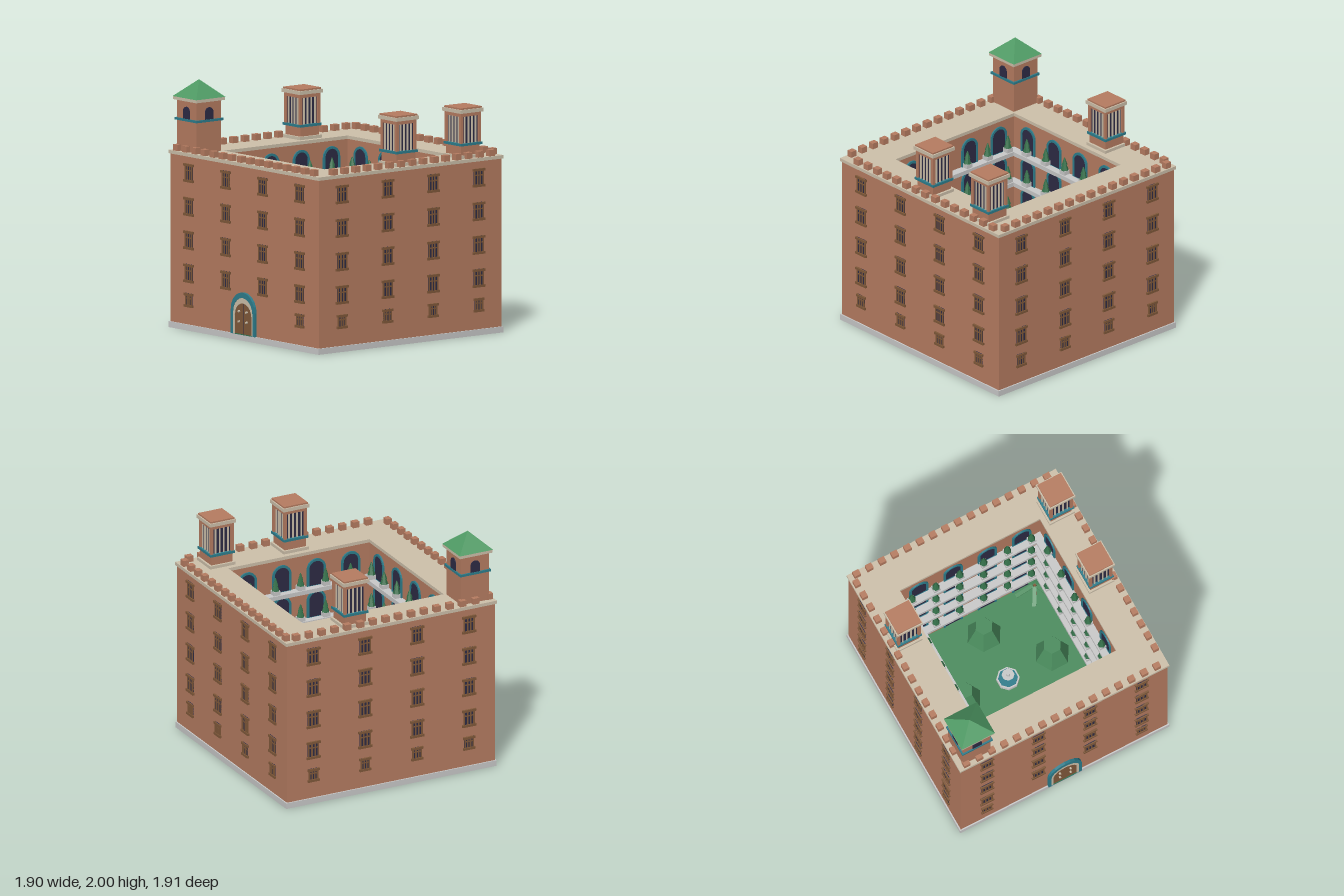
import * as THREE from 'three';

const mat = (name, color) => Object.assign(new THREE.MeshStandardMaterial({ color }), { name });
const brick = mat('brick', 0xb67c61), cream = mat('cream stone', 0xcdc0aa), grey = mat('grey stone', 0xc9c9c9),
  wood = mat('wood', 0x80593a), glass = mat('dark glass', 0x2d2b45), teal = mat('teal tile', 0x2d7d8c),
  lawnGreen = mat('lawn green', 0x4a8c5d), roofGreen = mat('roof green', 0x4f9a64), leaf = mat('leaf green', 0x35704a);

const W = 0.935;      // outer wall half width
const C = 0.634;      // courtyard half width
const TOP = 1.427;    // roof terrace height
const FLOORS = [0.32, 0.59, 0.86, 1.13];

function add(parent, name, geo, material, x = 0, y = 0, z = 0) {
  const m = new THREE.Mesh(geo, material);
  m.name = name;
  m.position.set(x, y, z);
  parent.add(m);
  return m;
}
function group(parent, name, x = 0, y = 0, z = 0, ry = 0) {
  const g = new THREE.Group();
  g.name = name;
  g.position.set(x, y, z);
  g.rotation.y = ry;
  parent.add(g);
  return g;
}
// Box standing on y0 and reaching y1
const block = (p, name, m, w, d, y0, y1, x = 0, z = 0) =>
  add(p, name, new THREE.BoxGeometry(w, y1 - y0, d), m, x, (y0 + y1) / 2, z);
// Faceted prism or cone standing on y0
function prism(p, name, m, rTop, rBottom, y0, y1, sides, turn = 0, x = 0, z = 0) {
  const geo = new THREE.CylinderGeometry(rTop, rBottom, y1 - y0, sides).toNonIndexed();
  geo.computeVertexNormals();
  geo.rotateY(turn);
  return add(p, name, geo, m, x, (y0 + y1) / 2, z);
}
function square(h, Type = THREE.Shape) {
  const s = new Type();
  s.moveTo(-h, -h); s.lineTo(h, -h); s.lineTo(h, h); s.lineTo(-h, h); s.closePath();
  return s;
}
// Square ring lying flat from y0 to y1
function ring(p, name, m, outer, inner, y0, y1) {
  const s = square(outer);
  s.holes.push(square(inner, THREE.Path));
  const geo = new THREE.ExtrudeGeometry(s, { depth: y1 - y0, bevelEnabled: false }).rotateX(-Math.PI / 2);
  return add(p, name, geo, m, 0, y0, 0);
}
function arch(w, y0, y1, Type = THREE.Shape) {
  const s = new Type();
  s.moveTo(-w, y0); s.lineTo(w, y0); s.lineTo(w, y1 - w);
  s.absarc(0, y1 - w, w, 0, Math.PI, false);
  s.lineTo(-w, y0);
  return s;
}
function archGeo(w, y0, y1, depth, hole) {
  const s = arch(w, y0, y1);
  if (hole) s.holes.push(arch(hole[0], y0 + 0.0005, hole[1], THREE.Path));
  return new THREE.ExtrudeGeometry(s, { depth, bevelEnabled: false, curveSegments: 5 });
}

// Barred window, built facing +z with the wall at z = 0
function addWindow(p, x, y, z, w, h) {
  const g = group(p, 'window', x, y, z);
  const iw = w * 0.8;
  add(g, 'windowPane', new THREE.BoxGeometry(iw, h, 0.008), glass, 0, 0, 0.002);
  for (const s of [-1, 1])
    add(g, s < 0 ? 'sill' : 'lintel', new THREE.BoxGeometry(w, 0.02, 0.026), wood, 0, s * (h / 2 - 0.01), 0.003);
  for (let i = 0; i < 4; i++)
    add(g, 'windowBar', new THREE.BoxGeometry(0.012, h, 0.018), wood, (i / 3 - 0.5) * (iw - 0.012), 0, 0.002);
  add(g, 'crossBar', new THREE.BoxGeometry(iw, 0.01, 0.016), wood, 0, h * 0.14, 0.002);
}

function addPlanter(p, x, y, z) {
  const g = group(p, 'planter', x, y, z);
  block(g, 'pot', grey, 0.058, 0.058, 0, 0.035);
  prism(g, 'shrubLower', leaf, 0.014, 0.033, 0.035, 0.09, 6, Math.PI / 6);
  prism(g, 'shrubUpper', leaf, 0.004, 0.024, 0.08, 0.14, 6, Math.PI / 6);
}

// Open lantern pavilion on the roof
function addPavilion(p, x, z) {
  const g = group(p, 'pavilion', x, TOP, z);
  block(g, 'plinth', cream, 0.226, 0.226, 0, 0.025);
  block(g, 'pedestal', brick, 0.19, 0.19, 0.025, 0.1);
  block(g, 'tealBand', teal, 0.22, 0.22, 0.1, 0.12);
  block(g, 'lanternCore', glass, 0.174, 0.174, 0.12, 0.335);
  for (let k = 0; k < 4; k++) {
    const side = group(g, 'colonnade', 0, 0, 0, k * Math.PI / 2);
    block(side, 'cornerPost', brick, 0.024, 0.024, 0.12, 0.335, 0.091, 0.091);
    for (let i = 0; i < 4; i++)
      block(side, 'colonnette', cream, 0.011, 0.014, 0.12, 0.335, (i - 1.5) * 0.037, 0.09);
  }
  block(g, 'frieze', brick, 0.206, 0.206, 0.335, 0.364);
  block(g, 'cornice', cream, 0.234, 0.234, 0.364, 0.393);
  block(g, 'cap', brick, 0.214, 0.214, 0.393, 0.406);
}

// Corner tower with pyramid roof
function addTower(p, x, z) {
  const g = group(p, 'cornerTower', x, 0, z);
  block(g, 'towerShaft', brick, 0.25, 0.25, TOP, 1.84);
  block(g, 'towerBand', teal, 0.275, 0.275, 1.673, 1.692);
  for (let k = 0; k < 4; k++) {
    const side = group(g, 'towerSide', 0, 0, 0, k * Math.PI / 2);
    add(side, 'towerWindow', archGeo(0.041, 1.692, 1.79, 0.008), glass, 0, 0, 0.124);
  }
  block(g, 'towerCornice', cream, 0.295, 0.295, 1.836, 1.861);
  prism(g, 'towerRoof', roofGreen, 0, 0.15 * Math.SQRT2, 1.861, 2, 4, Math.PI / 4);
}

function addDoor(p) {
  const g = group(p, 'gate', 0, 0.048, W);
  add(g, 'gateSurround', archGeo(0.15, 0, 0.342, 0.022, [0.124, 0.298]), teal);
  add(g, 'gateArch', archGeo(0.124, 0, 0.298, 0.018, [0.106, 0.254]), cream);
  add(g, 'gateLeaf', archGeo(0.106, 0, 0.254, 0.014), wood);
  add(g, 'threshold', new THREE.BoxGeometry(0.21, 0.006, 0.02), leaf, 0, 0.003, 0.01);
  add(g, 'gateSeam', new THREE.BoxGeometry(0.003, 0.25, 0.002), glass, 0, 0.126, 0.0145);
  for (const x of [-0.048, 0.048]) for (const y of [0.105, 0.187])
    add(g, 'stud', new THREE.CylinderGeometry(0.009, 0.009, 0.016, 8).rotateX(Math.PI / 2), cream, x, y, 0.021);
}

// Palm in a courtyard corner, fronds opening towards the middle
function addPalm(p, x, z, turn) {
  const g = group(p, 'palm', x, 0.05, z, turn);
  prism(g, 'palmTrunk', wood, 0.012, 0.018, 0, 0.23, 6);
  for (let i = 0; i < 6; i++) {
    const f = group(g, 'frond', 0, 0.23, 0, i * Math.PI / 3);
    add(f, 'frondBlade', new THREE.BoxGeometry(0.16, 0.01, 0.032), lawnGreen, 0.093, -0.02, 0).rotation.z = -0.3;
  }
}

export function createModel() {
  const model = new THREE.Group();
  model.name = 'courtyardPalace';
  const b = group(model, 'palace', 0, 0, -0.0125);

  // Main shell
  block(b, 'base', grey, 1.892, 1.892, 0, 0.048);
  ring(b, 'walls', brick, W, C + 0.002, 0.048, 1.402);
  ring(b, 'roofTerrace', cream, 0.947, C, 1.4, TOP);

  // Outer facades: rows of windows, gate at the front
  for (let k = 0; k < 4; k++) {
    const f = group(b, 'facade', 0, 0, 0, k * Math.PI / 2);
    for (const x of [-0.7, -0.233, 0.233, 0.7]) {
      for (const y of [0.46, 0.727, 0.997, 1.268]) addWindow(f, x, y, W, 0.122, 0.148);
      if (k || Math.abs(x) > 0.5) addWindow(f, x, 0.244, W, 0.104, 0.112);
    }
    if (k === 0) addDoor(f);
  }

  // Battlements
  for (const s of [-1, 1]) {
    for (let i = 0; i < 16; i++)
      block(b, 'merlon', brick, 0.055, 0.048, TOP, 1.477, -0.875 + i * 0.115, s * 0.913);
    for (let i = 0; i < 15; i++)
      block(b, 'merlon', brick, 0.048, 0.055, TOP, 1.477, s * 0.912, -0.842 + i * 0.115);
  }

  // Courtyard galleries with arches and planters
  for (const y of FLOORS) ring(b, 'gallery', grey, C + 0.004, 0.565, y - 0.035, y);
  for (let k = 0; k < 4; k++) {
    const s = group(b, 'courtyardSide', 0, 0, 0, k * Math.PI / 2);
    for (const y of [0.05, ...FLOORS]) {
      for (const x of [-0.465, -0.155, 0.155, 0.465]) {
        add(s, 'archFrame', archGeo(0.085, 0, 0.228, 0.012, [0.066, 0.208]), teal, x, y, -C - 0.002);
        add(s, 'archOpening', archGeo(0.066, 0, 0.208, 0.006), glass, x, y, -C - 0.002);
      }
      if (y < 0.1) continue;
      const n = k % 2 ? 5 : 6, step = k % 2 ? 0.225 : 0.216;
      for (let i = 0; i < n; i++) addPlanter(s, (i - (n - 1) / 2) * step, y, -0.604);
    }
  }

  // Garden
  block(b, 'lawn', lawnGreen, 2 * C, 2 * C, 0.046, 0.054);
  for (const [x, z] of [[0.4, 0], [-0.4, 0], [0, 0.4], [0, -0.4]]) {
    const t = group(b, 'gardenTree', x, 0.05, z);
    prism(t, 'treeTrunk', wood, 0.025, 0.03, 0, 0.1, 6);
    prism(t, 'treeCrown', lawnGreen, 0.075, 0.148, 0.08, 0.28, 6, Math.PI / 6);
  }
  addPalm(b, 0.53, -0.53, 0);
  addPalm(b, -0.53, 0.53, 0);
  for (const s of [-1, 1]) block(b, 'lampPost', cream, 0.018, 0.018, 0.05, 0.28, s * 0.553, s * 0.553);

  // Fountain
  const f = group(b, 'fountain', 0, 0.05, 0);
  prism(f, 'basin', grey, 0.094, 0.094, 0, 0.04, 8, Math.PI / 8);
  prism(f, 'water', teal, 0.08, 0.08, 0.036, 0.044, 8, Math.PI / 8);
  prism(f, 'fountainStem', grey, 0.016, 0.022, 0.04, 0.15, 8);
  prism(f, 'fountainBowl', grey, 0.052, 0.02, 0.09, 0.115, 8, Math.PI / 8);

  // Roof structures
  addTower(b, -0.772, 0.777);
  addPavilion(b, 0.789, -0.66);
  addPavilion(b, 0.789, 0);
  addPavilion(b, -0.789, -0.293);
  return model;
}
